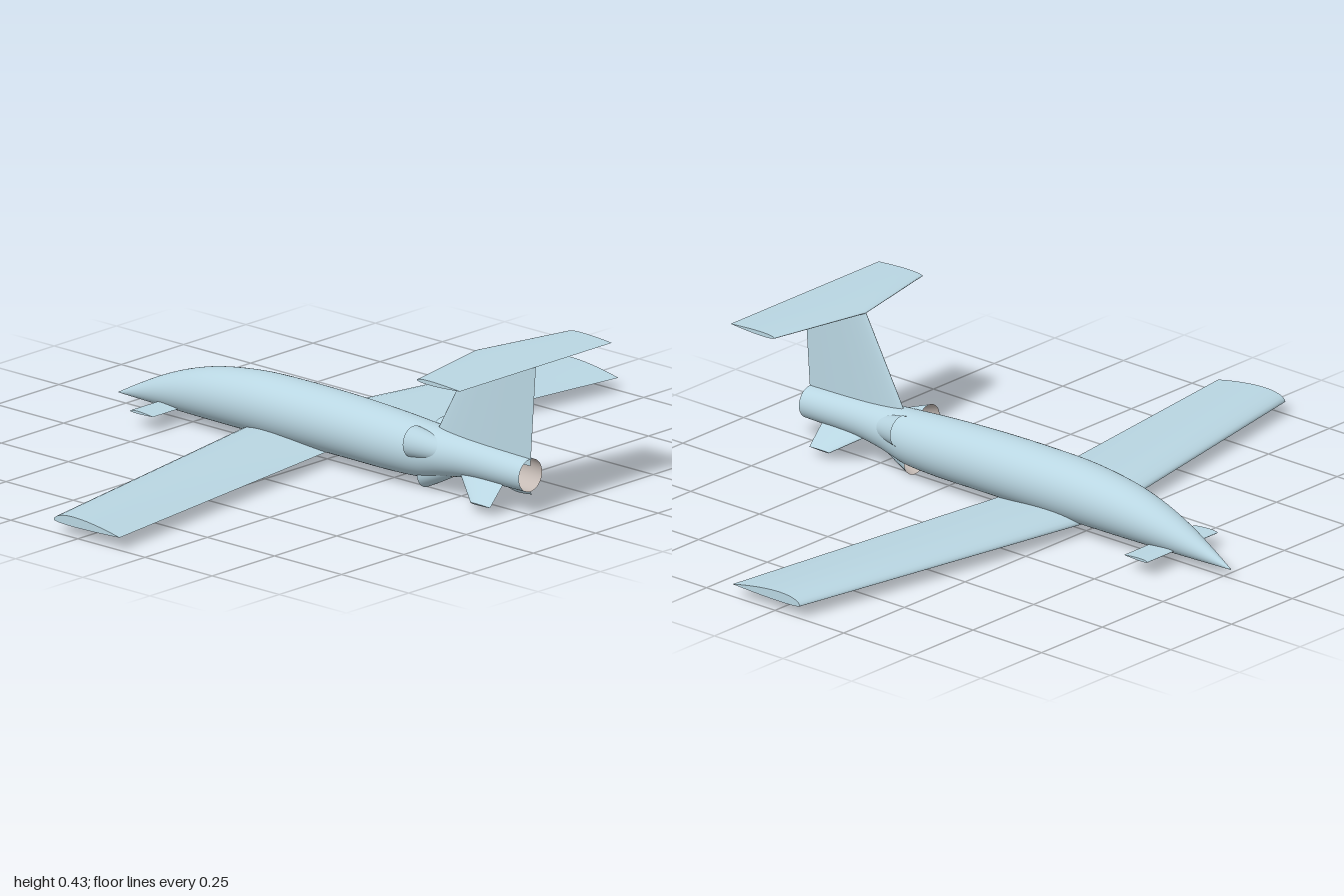
import * as THREE from 'three';

const skin = new THREE.MeshStandardMaterial({ color: 0xb9d6e2 });
const inner = new THREE.MeshStandardMaterial({ color: 0xc6bcb6, side: THREE.BackSide });

// Skin a list of rings (each running positively about the loft direction).
function loft(rings, { closed = false, caps = false } = {}) {
  const n = rings[0].length, pos = rings.flat(2), idx = [];
  for (let i = 0; i < rings.length - 1; i++) {
    for (let j = 0; j < (closed ? n : n - 1); j++) {
      const k = (j + 1) % n;
      const a = i * n + j, c = i * n + k, b = a + n, d = c + n;
      idx.push(a, c, b, c, d, b);
    }
  }
  if (caps) {
    [rings[0], rings[rings.length - 1]].forEach((ring, end) => {
      const base = pos.length / 3;
      pos.push(...ring.flat());
      const mid = [0, 1, 2].map(k => (ring[0][k] + ring[n >> 1][k]) / 2);
      pos.push(...mid);
      for (let j = 0; j < n - 1; j++) {
        if (end) idx.push(base + n, base + j, base + j + 1);
        else idx.push(base + n, base + j + 1, base + j);
      }
    });
  }
  const g = new THREE.BufferGeometry();
  g.setAttribute('position', new THREE.Float32BufferAttribute(pos, 3));
  g.setIndex(idx);
  g.computeVertexNormals();
  return g;
}

function circle(x, y, z, r, sides) {
  return Array.from({ length: sides }, (_, j) => {
    const a = (j / sides) * Math.PI * 2;
    return [x, y + r * Math.cos(a), z + r * Math.sin(a)];
  });
}

// Rounded leading edge, sharp trailing edge; c runs 0..1 along the chord.
const airfoil = c => 5 * (0.2969 * Math.sqrt(c) - 0.126 * c - 0.3516 * c ** 2 + 0.2843 * c ** 3 - 0.1036 * c ** 4);

// Lifting surface from stations [leadX, trailX, y, z, thickness].
function foil(stations, lower = 1) {
  const first = stations[0], last = stations[stations.length - 1];
  const span = new THREE.Vector3(0, last[2] - first[2], last[3] - first[3]).normalize();
  const t = span.clone().cross(new THREE.Vector3(1, 0, 0));
  const N = 32;
  const rings = stations.map(([x0, x1, y, z, thick]) =>
    Array.from({ length: N + 1 }, (_, j) => {
      const c = (1 + Math.cos((j / N) * Math.PI * 2)) / 2;
      const h = airfoil(c) * thick * (j <= N / 2 ? 1 : -lower);
      return [x0 + (x1 - x0) * c, y + t.y * h, z + t.z * h];
    }));
  return loft(rings, { caps: true });
}

export function createModel() {
  const model = new THREE.Group();
  const add = (name, geometry) => {
    const mesh = new THREE.Mesh(geometry, skin);
    mesh.name = name;
    model.add(mesh);
    return mesh;
  };
  // Open shell with a differently coloured inside
  const addShell = (name, geometry) => {
    const lining = new THREE.Mesh(geometry, inner);
    lining.name = name + 'Lining';
    add(name, geometry).add(lining);
  };

  // Fuselage: round sections between a top line and a bottom line [x, top, bottom]
  const profile = new THREE.CatmullRomCurve3([
    [-0.777, 0.027, 0.025], [-0.7, 0.068, 0.025], [-0.6, 0.116, 0.025], [-0.5, 0.153, 0.025],
    [-0.4, 0.178, 0.025], [-0.25, 0.197, 0.025], [-0.1, 0.201, 0.025], [0.1, 0.199, 0.025],
    [0.28, 0.191, 0.025], [0.38, 0.184, 0.031], [0.46, 0.179, 0.049], [0.55, 0.173, 0.062],
    [0.757, 0.16, 0.067],
  ].map(p => new THREE.Vector3(...p)));
  addShell('fuselage', loft(profile.getPoints(84).map(p =>
    circle(p.x, (p.y + p.z) / 2, 0, (p.y - p.z) / 2, 64)), { closed: true }));

  // Three air intakes spaced evenly round the rear fuselage
  ['leftIntake', 'bottomIntake', 'rightIntake'].forEach((name, i) => {
    const a = Math.PI / 3 + (i * Math.PI * 2) / 3;
    const ring = (x, offset, r) =>
      circle(x, 0.11 + offset * Math.cos(a), offset * Math.sin(a), r, 40);
    addShell(name, loft([ring(0.375, 0.066, 0.044), ring(0.425, 0.049, 0.037), ring(0.475, 0.03, 0.03)],
      { closed: true }));
  });

  // Wing, foreplane and tailplane, each tip to tip
  add('wing', foil([
    [-0.09, 0.155, 0.036, -1, 0.045], [-0.276, 0.029, 0.036, 0, 0.052], [-0.09, 0.155, 0.036, 1, 0.045],
  ], 0.25));
  add('foreplane', foil([[-0.6, -0.515, 0.043, -0.145, 0.01], [-0.6, -0.515, 0.043, 0.145, 0.01]], 0.5));
  add('tailplane', foil([
    [0.617, 0.777, 0.427, -0.305, 0.012], [0.553, 0.777, 0.427, 0, 0.016], [0.617, 0.777, 0.427, 0.305, 0.012],
  ]));

  // Upright fin, its root buried in the fuselage
  add('fin', foil([[0.394, 0.757, 0.14, 0, 0.027], [0.553, 0.777, 0.427, 0, 0.017]]));

  // Splayed fins beneath the tail
  for (const s of [1, -1]) {
    add(s > 0 ? 'leftVentralFin' : 'rightVentralFin', foil([
      [0.52, 0.685, 0.082, s * 0.03, 0.012], [0.613, 0.685, 0.024, s * 0.085, 0.009],
    ]));
  }
  return model;
}
